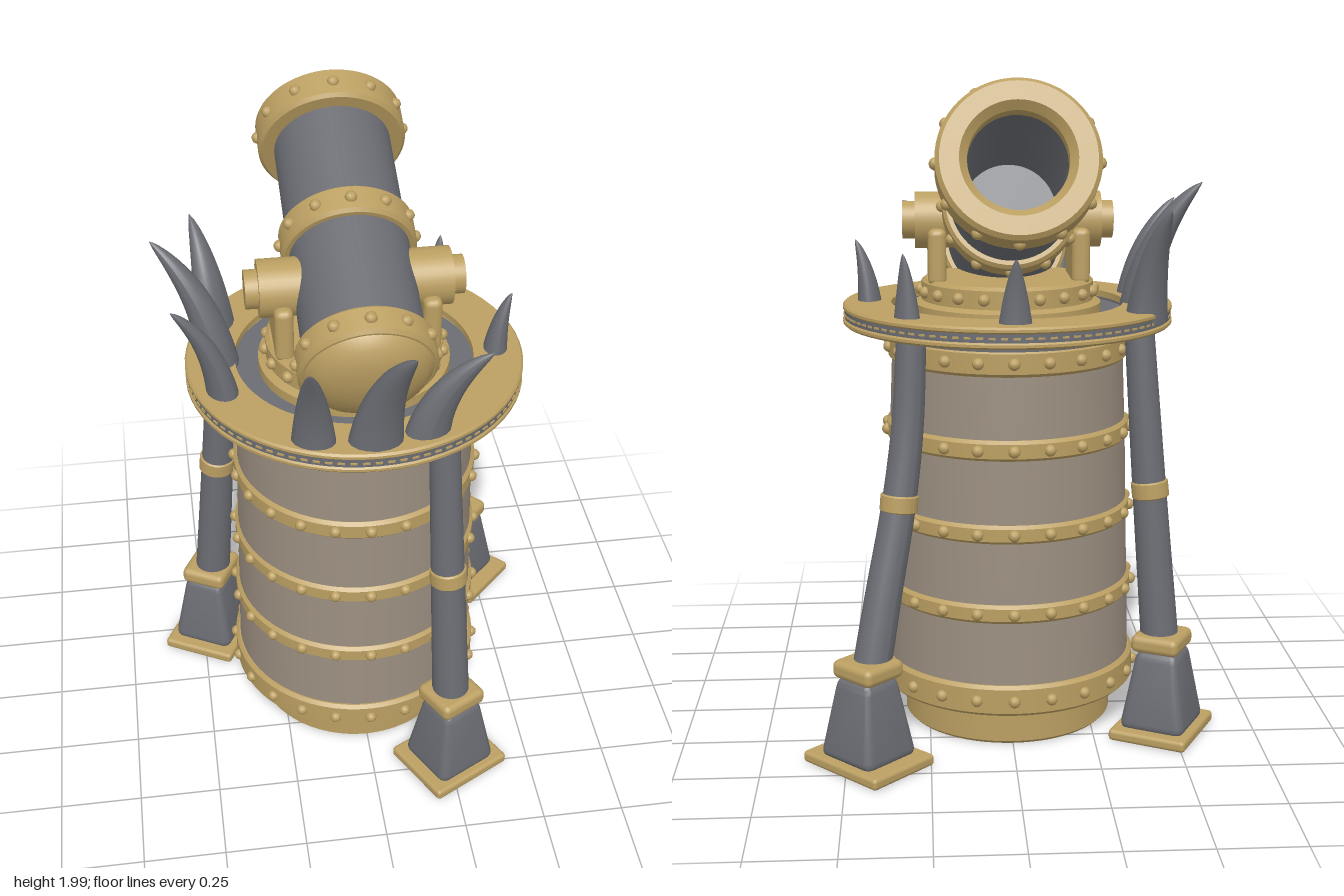
import * as THREE from 'three';
import { toCreasedNormals } from 'three/addons/utils/BufferGeometryUtils.js';
import { RoundedBoxGeometry } from 'three/addons/geometries/RoundedBoxGeometry.js';

const material = (name, color) => {
  const m = new THREE.MeshStandardMaterial({ color });
  m.name = name;
  return m;
};

export function createModel() {
  const brass = material('brass', 0xbb9f62);
  const iron = material('iron', 0x6b6d73);
  const clay = material('clay', 0x9b8e80);
  const model = new THREE.Group();
  model.name = 'cannonTower';
  const tower = new THREE.Group();
  tower.name = 'tower';
  tower.position.z = 0.013;
  model.add(tower);

  const add = (parent, name, geometry, mat, x = 0, y = 0, z = 0) => {
    const mesh = new THREE.Mesh(geometry, mat);
    mesh.name = name;
    mesh.position.set(x, y, z);
    parent.add(mesh);
    return mesh;
  };
  // Turned part; profile of [radius, height] runs bottom, outside, top
  const turned = (profile, segments = 64) => toCreasedNormals(
    new THREE.LatheGeometry(profile.map(([r, y]) => new THREE.Vector2(r, y)), segments), 0.6);
  // Hoop with softened edges
  const hoop = (inner, outer, y0, y1, b = 0.01) => turned([
    [inner, y0], [outer - b, y0], [outer, y0 + b], [outer, y1 - b], [outer - b, y1], [inner, y1], [inner, y0]]);
  const rivetGeometry = new THREE.SphereGeometry(0.018, 10, 8);
  const rivets = (parent, name, count, radius, y) => {
    const ring = new THREE.Group();
    ring.name = name;
    for (let i = 0; i < count; i++) {
      const a = (i / count) * Math.PI * 2;
      add(ring, 'rivet', rivetGeometry, brass, radius * Math.sin(a), y, radius * Math.cos(a));
    }
    parent.add(ring);
  };
  // Tube whose radius follows rule(t), flattened along a horizontal direction
  const taperedTube = (curve, rows, sides, rule, flatDir = null, flat = 0) => {
    const g = new THREE.TubeGeometry(curve, rows, 1, sides);
    const p = g.attributes.position;
    const v = new THREE.Vector3();
    for (let i = 0; i < p.count; i++) {
      const t = Math.floor(i / (sides + 1)) / rows;
      const c = curve.getPointAt(t);
      v.fromBufferAttribute(p, i).sub(c).multiplyScalar(rule(t));
      if (flatDir) v.addScaledVector(flatDir, -flat * v.dot(flatDir));
      v.add(c);
      p.setXYZ(i, v.x, v.y, v.z);
    }
    g.computeVertexNormals();
    return g;
  };

  // Tower body and hoops
  add(tower, 'base', turned([[0, 0], [0.315, 0], [0.325, 0.01], [0.325, 0.1], [0.36, 0.125], [0, 0.125]]), brass);
  add(tower, 'body', turned([[0, 0.12], [0.385, 0.12], [0.375, 0.5], [0.365, 0.9], [0.352, 1.23], [0, 1.23]]), clay);
  const hoops = [[0.119, 0.214, 0.397], [0.405, 0.463, 0.387], [0.648, 0.706, 0.38], [0.897, 0.96, 0.374], [1.145, 1.225, 0.366]];
  for (const [y0, y1, r] of hoops) {
    add(tower, 'bodyHoop', hoop(r - 0.04, r, y0, y1), brass);
    rivets(tower, 'hoopRivets', 22, r, (y0 + y1) / 2);
  }

  // Platform: floor and two brass rings around an iron strip
  add(tower, 'floor', turned([[0, 1.22], [0.362, 1.22], [0.362, 1.285], [0, 1.285]]), iron);
  add(tower, 'platformLower', hoop(0.355, 0.502, 1.252, 1.272, 0.006), brass);
  add(tower, 'platformStrip', hoop(0.4, 0.497, 1.27, 1.297, 0.001), iron);
  add(tower, 'platformUpper', hoop(0.355, 0.502, 1.295, 1.315, 0.006), brass);
  const stitch = new THREE.BoxGeometry(0.02, 0.006, 0.006);
  for (let i = 0; i < 90; i++) {
    const a = (i / 90) * Math.PI * 2;
    add(tower, 'stripStud', stitch, brass, 0.497 * Math.sin(a), 1.2835, 0.497 * Math.cos(a)).rotation.y = a;
  }

  // Turntable
  add(tower, 'turntable', turned([[0, 1.28], [0.285, 1.28], [0.285, 1.315], [0.262, 1.325],
    [0.262, 1.38], [0.25, 1.39], [0, 1.39]]), brass);
  rivets(tower, 'turntableRivets', 20, 0.264, 1.353);

  // Legs: [angle, outward distance at foot, plate width, path of (height, distance)]
  const legs = [
    [45, 0.615, 0.31, [[0.27, 0.602], [0.5, 0.545], [0.77, 0.475], [1.0, 0.435], [1.27, 0.415]]],
    [152, 0.525, 0.28, [[0.27, 0.517], [0.77, 0.472], [1.27, 0.43]]],
    [-61.5, 0.52, 0.28, [[0.27, 0.515], [0.77, 0.472], [1.27, 0.43]]],
  ];
  const footGeometry = (() => {
    const g = new RoundedBoxGeometry(0.22, 0.25, 0.21, 3, 0.03);
    const p = g.attributes.position;
    for (let i = 0; i < p.count; i++) {
      const k = 1 - 0.4 * (p.getY(i) / 0.25 + 0.5);
      p.setXYZ(i, p.getX(i) * k, p.getY(i), p.getZ(i) * k);
    }
    return toCreasedNormals(g, 0.7);
  })();
  for (const [angle, dist, width, path] of legs) {
    const leg = new THREE.Group();
    leg.name = 'leg';
    leg.rotation.y = THREE.MathUtils.degToRad(angle + 90);
    tower.add(leg);
    const curve = new THREE.CatmullRomCurve3(path.map(([y, z]) => new THREE.Vector3(0, y, z)));
    add(leg, 'footPlate', new RoundedBoxGeometry(width, 0.035, 0.245, 2, 0.012), brass, 0, 0.0175, dist);
    add(leg, 'foot', footGeometry, iron, 0, 0.15, dist);
    add(leg, 'footCollar', new RoundedBoxGeometry(0.16, 0.055, 0.15, 2, 0.02), brass, 0, 0.298, dist - 0.004);
    add(leg, 'pole', taperedTube(curve, 20, 20, (t) => 0.058 - 0.014 * t), iron);
    add(leg, 'poleBand', hoop(0.04, 0.056, -0.026, 0.026, 0.004), brass, 0, 0.772, 0.474).rotation.x = -0.12;
  }

  // Horns: base x, z, tip x, y, z, radius
  const horns = [
    [-0.4, -0.2, -0.45, 1.62, -0.335, 0.08],
    [-0.4, -0.02, -0.575, 1.68, -0.09, 0.08],
    [-0.4, 0.155, -0.535, 1.61, 0.185, 0.06],
    [-0.17, 0.42, -0.19, 1.61, 0.54, 0.066],
    [0, 0.44, 0.085, 1.67, 0.59, 0.08],
    [0.15, 0.415, 0.32, 1.58, 0.455, 0.07],
    [0.42, 0.045, 0.462, 1.5, 0.045, 0.05],
    [0.305, -0.295, 0.315, 1.5, -0.31, 0.045],
    [0, -0.405, 0, 1.5, -0.447, 0.05],
  ];
  for (const [bx, bz, tx, ty, tz, r] of horns) {
    const base = new THREE.Vector3(bx, 1.29, bz);
    const tip = new THREE.Vector3(tx, ty, tz);
    const bend = base.clone().lerp(tip, 0.15).setY(1.29 + (ty - 1.29) * 0.62);
    const outward = new THREE.Vector3(bx, 0, bz).normalize();
    add(model, 'horn', taperedTube(new THREE.QuadraticBezierCurve3(base, bend, tip), 18, 16,
      (t) => r * (1 + 0.15 * t) * Math.pow(1 - t, 0.75) + 0.001, outward, 0.25), iron);
  }

  // Trunnion brackets on both sides
  for (const s of [-1, 1]) {
    const bracket = new THREE.Group();
    bracket.name = 'bracket';
    model.add(bracket);
    add(bracket, 'cheek', new RoundedBoxGeometry(0.055, 0.17, 0.235, 2, 0.02), brass, s * 0.215, 1.46, 0.014);
    const disc = (name, r, x0, x1) => {
      add(bracket, name, new THREE.CylinderGeometry(r, r, x1 - x0, 32), brass, s * (x0 + x1) / 2, 1.562, 0.016)
        .rotation.z = Math.PI / 2;
    };
    disc('trunnionFlange', 0.085, 0.15, 0.28);
    disc('trunnionPin', 0.057, 0.27, 0.318);
  }

  // Cannon, built along its own axis about the trunnion
  const cannon = new THREE.Group();
  cannon.name = 'cannon';
  cannon.position.set(0, 1.562, 0.016);
  cannon.rotation.x = THREE.MathUtils.degToRad(-68.7);
  model.add(cannon);
  add(cannon, 'barrel', turned([[0, -0.31], [0.177, -0.31], [0.177, 0.56], [0.14, 0.57], [0.14, 0.1], [0, 0.1]]), iron);
  add(cannon, 'breechCap', turned([[0, -0.392], [0.06, -0.388], [0.115, -0.374], [0.158, -0.35],
    [0.184, -0.318], [0.19, -0.29], [0, -0.29]]), brass);
  add(cannon, 'breechRing', hoop(0.16, 0.2, -0.318, -0.226), brass);
  add(cannon, 'middleRing', hoop(0.16, 0.2, 0.1, 0.196), brass);
  add(cannon, 'muzzleRing', turned([[0.16, 0.512], [0.215, 0.512], [0.225, 0.522], [0.225, 0.612],
    [0.213, 0.624], [0.16, 0.624], [0.138, 0.6], [0.138, 0.56], [0.16, 0.512]]), brass);
  rivets(cannon, 'breechRivets', 12, 0.2, -0.272);
  rivets(cannon, 'middleRivets', 12, 0.2, 0.148);
  rivets(cannon, 'muzzleRivets', 12, 0.223, 0.567);

  return model;
}
